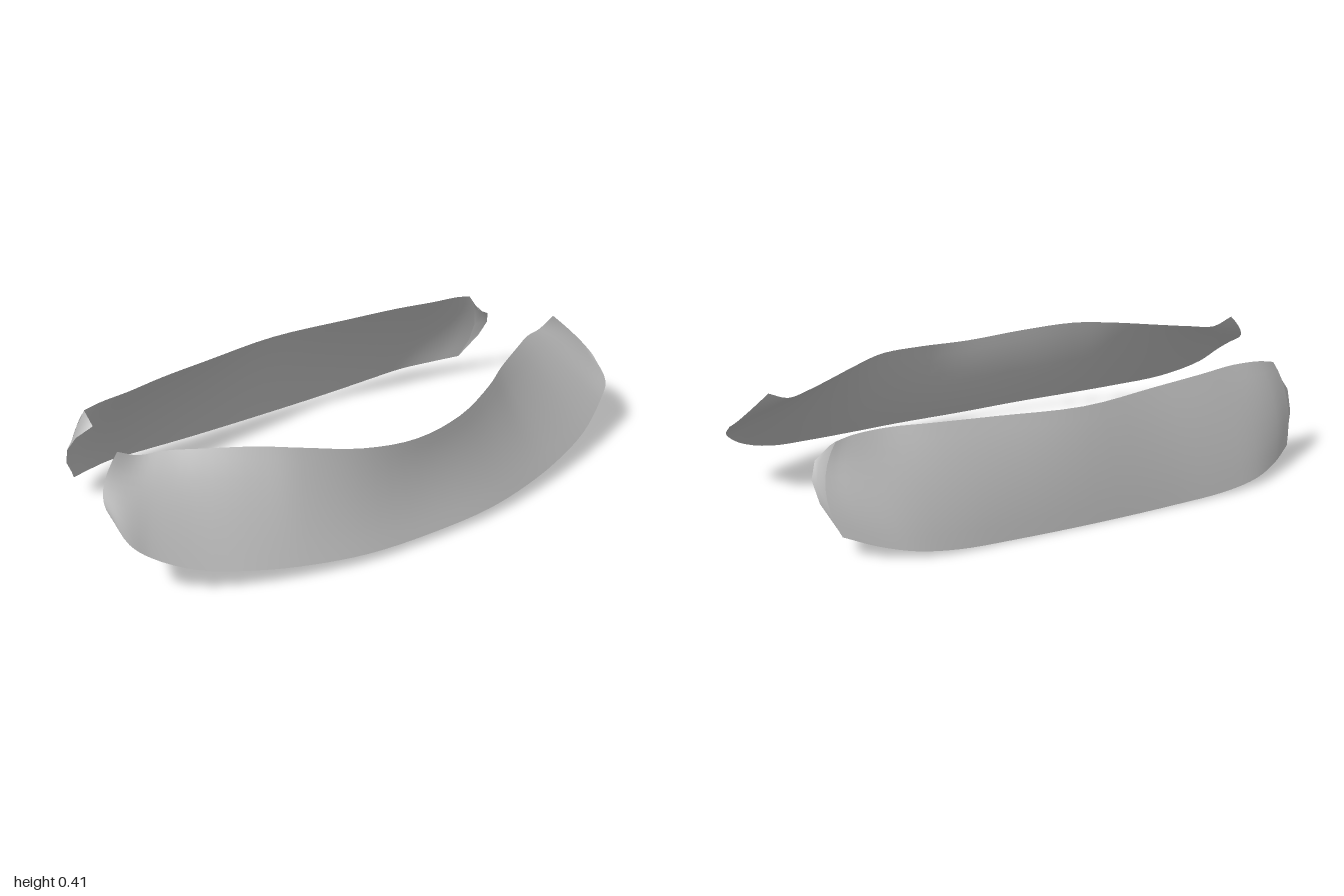
import * as THREE from 'three';

const grey = new THREE.MeshStandardMaterial({ color: 0xb0b0b0, side: THREE.DoubleSide });
grey.name = 'grey';

const mirror = ([x, y, z]) => [-x, y, z];

// Skin lofted through cross-sections, each given as [top, middle, bottom].
function loft(name, sections, across, down) {
  const rows = [0, 1, 2].map(r =>
    new THREE.CatmullRomCurve3(sections.map(s => new THREE.Vector3(...s[r])), false, 'centripetal'));
  const positions = [], index = [];
  for (let i = 0; i <= across; i++) {
    const [top, middle, bottom] = rows.map(curve => curve.getPoint(i / across));
    for (let j = 0; j <= down; j++) {
      const t = j / down;
      const p = top.clone().multiplyScalar((1 - t) * (1 - 2 * t))
        .addScaledVector(middle, 4 * t * (1 - t))
        .addScaledVector(bottom, t * (2 * t - 1));
      positions.push(p.x, p.y, p.z);
      if (i < across && j < down) {
        const a = i * (down + 1) + j, d = a + down + 1;
        index.push(a, a + 1, d + 1, a, d + 1, d);
      }
    }
  }
  const geometry = new THREE.BufferGeometry();
  geometry.setAttribute('position', new THREE.Float32BufferAttribute(positions, 3));
  geometry.setIndex(index);
  geometry.computeVertexNormals();
  const mesh = new THREE.Mesh(geometry, grey);
  mesh.name = name;
  return mesh;
}

// Extends a half given from the centre outwards over both sides.
const bothSides = half => [...half.slice(1).reverse().map(s => s.map(mirror)), ...half];

export function createModel() {
  const group = new THREE.Group();
  group.name = 'bumpers';

  // Front bumper: low in the middle, swept back and up to pointed ends
  const front = [
    [[0, 0.34, 0.44], [0, 0.18, 0.463], [0, 0.025, 0.533]],
    [[0.2, 0.355, 0.415], [0.225, 0.19, 0.45], [0.25, 0.03, 0.525]],
    [[0.38, 0.38, 0.34], [0.415, 0.21, 0.4], [0.45, 0.042, 0.49]],
    [[0.5, 0.386, 0.26], [0.55, 0.22, 0.345], [0.62, 0.06, 0.445]],
    [[0.65, 0.382, 0.165], [0.73, 0.235, 0.27], [0.8, 0.092, 0.38]],
    [[0.75, 0.379, 0.105], [0.85, 0.265, 0.21], [0.93, 0.15, 0.315]],
    [[0.83, 0.375, 0.077], [0.925, 0.29, 0.17], [0.985, 0.2, 0.28]],
    [[0.9, 0.405, 0.068], [0.98, 0.318, 0.115], [1, 0.265, 0.19]],
  ];
  group.add(loft('frontBumper', bothSides(front), 56, 8));

  // Rear bumper: flatter panel leaning outwards at the bottom
  const rear = [
    [[0, 0.37, -0.425], [0, 0.2, -0.49], [0, 0, -0.535]],
    [[0.3, 0.375, -0.385], [0.3, 0.2, -0.475], [0.3, 0.003, -0.533]],
    [[0.5, 0.378, -0.355], [0.5, 0.2, -0.46], [0.5, 0.01, -0.53]],
    [[0.65, 0.378, -0.325], [0.66, 0.2, -0.435], [0.64, 0.025, -0.51]],
    [[0.76, 0.372, -0.32], [0.79, 0.21, -0.39], [0.75, 0.045, -0.46]],
    [[0.82, 0.36, -0.32], [0.87, 0.22, -0.345], [0.84, 0.07, -0.4]],
  ];
  group.add(loft('rearBumper', bothSides(rear).reverse(), 40, 8));

  // Narrow flaps folded forwards at the ends of the rear bumper
  const fold = rear[rear.length - 1];
  const tip = [[0.82, 0.325, -0.262], [0.9, 0.24, -0.305], [0.845, 0.085, -0.39]];
  group.add(loft('rearFlapLeft', [tip, fold], 2, 4));
  group.add(loft('rearFlapRight', [fold.map(mirror), tip.map(mirror)], 2, 4));

  return group;
}
